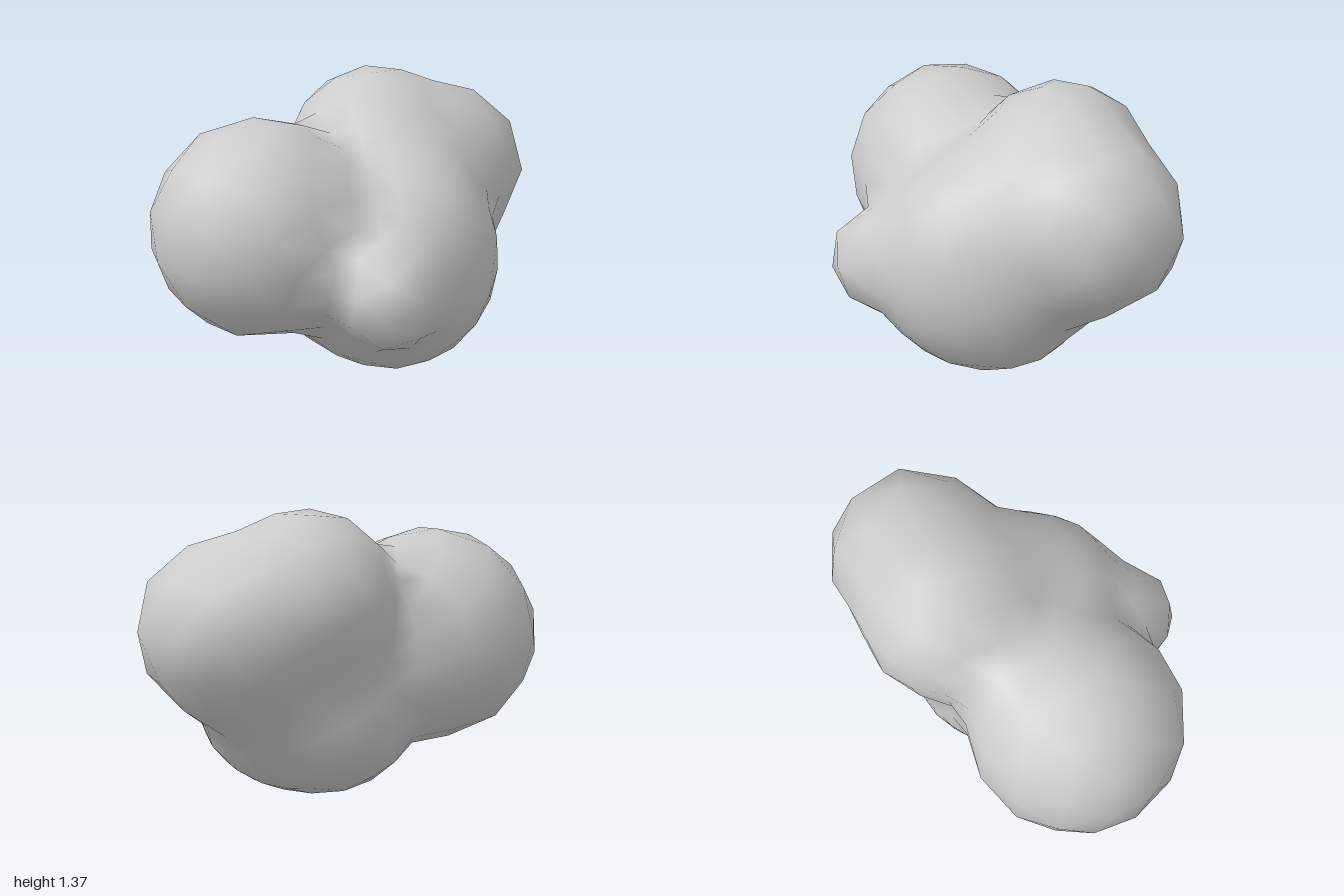
import * as THREE from 'three';
import { mergeVertices } from 'three/addons/utils/BufferGeometryUtils.js';

// Lobes of the cloud-like clump: centre x, y, z and radius
const LOBES = [
  [-0.49, 0.75, -0.19, 0.51],  // large lobe on the right-hand side
  [0.6, 0.86, -0.07, 0.41],    // lobe on the left-hand side
  [0.26, 0.97, -0.2, 0.42],    // top rear lobe
  [0.06, 0.48, -0.06, 0.46],   // base
  [0.2, 0.44, 0.12, 0.38],     // base, left-hand side
  [0.02, 0.46, 0.17, 0.42],    // base, front
  [0.07, 0.62, 0.15, 0.46],    // front belly
  [0.2, 0.82, 0.02, 0.38],     // bridge from belly to top lobe
  [0.42, 0.66, -0.06, 0.33],   // bridge under the left-hand lobe
  [-0.29, 0.53, 0.45, 0.24],   // small front knob
];
const BLEND = 0.12;

// Softly blended distance to the union of all lobes
function distance(p) {
  let d = Infinity;
  for (const [x, y, z, r] of LOBES) {
    const e = Math.hypot(p.x - x, p.y - y, p.z - z) - r;
    const h = d === Infinity ? 0 : Math.max(BLEND - Math.abs(d - e), 0) / BLEND;
    d = Math.min(d, e) - h * h * BLEND * 0.25;
  }
  return d;
}

export function createModel() {
  const group = new THREE.Group();
  group.name = 'lobedClump';

  // Faceted ball whose vertices are shrunk inward onto the blended lobes
  let geometry = new THREE.IcosahedronGeometry(1, 4);
  geometry.deleteAttribute('uv');
  geometry.deleteAttribute('normal');
  geometry = mergeVertices(geometry, 1e-4);
  const core = new THREE.Vector3(0, 0.66, 0.02);
  const pos = geometry.attributes.position;
  const dir = new THREE.Vector3();
  const p = new THREE.Vector3();
  for (let i = 0; i < pos.count; i++) {
    dir.fromBufferAttribute(pos, i).normalize();
    let t = 1.8;
    for (let s = 0; s < 100; s++) {
      const d = distance(p.copy(core).addScaledVector(dir, t));
      if (d < 0.0005) break;
      t -= d;
    }
    pos.setXYZ(i, p.x, p.y, p.z);
  }

  // Centre it and stand it on the floor
  geometry.computeBoundingBox();
  const mid = geometry.boundingBox.getCenter(new THREE.Vector3());
  geometry.translate(-mid.x, -geometry.boundingBox.min.y, -mid.z);
  geometry.computeVertexNormals();

  const clump = new THREE.Mesh(geometry, new THREE.MeshStandardMaterial({ color: 0xcccccc }));
  clump.name = 'clump';
  group.add(clump);
  return group;
}
